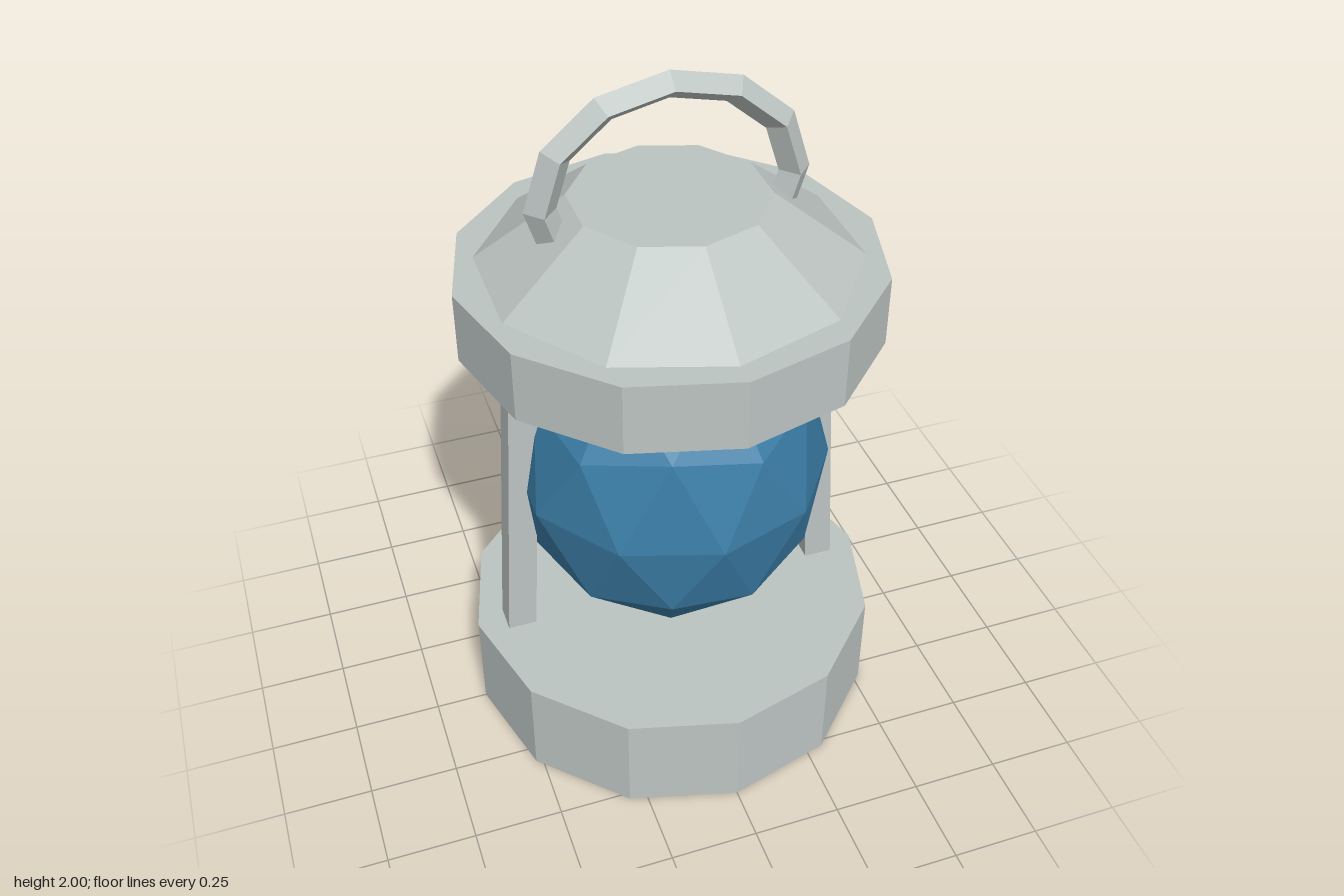
import * as THREE from 'three';

export function createModel() {
  const group = new THREE.Group();
  const metal = new THREE.MeshStandardMaterial({ color: 0xbcc4c2, flatShading: true });
  metal.name = 'pale grey metal';
  const glass = new THREE.MeshStandardMaterial({ color: 0x3a7ca5, flatShading: true });
  glass.name = 'blue glass';

  const add = (name, geometry, material, x = 0, y = 0) => {
    const mesh = new THREE.Mesh(geometry, material);
    mesh.name = name;
    mesh.position.set(x, y, 0);
    group.add(mesh);
    return mesh;
  };
  // Upright faceted drum or cone between two heights
  const drum = (name, bottomRadius, topRadius, y0, y1, sides) =>
    add(name, new THREE.CylinderGeometry(topRadius, bottomRadius, y1 - y0, sides), metal, 0, (y0 + y1) / 2);

  drum('base', 0.6, 0.6, 0, 0.305, 12);
  drum('lidRim', 0.577, 0.577, 1.275, 1.475, 12);
  drum('lidCone', 0.512, 0.265, 1.475, 1.66, 10);

  // Faceted globe with a corner at each pole
  const globe = new THREE.IcosahedronGeometry(1, 1);
  globe.rotateZ(-Math.atan(2 / (1 + Math.sqrt(5))));
  globe.scale(0.455, 0.51, 0.455);
  add('globe', globe, glass, 0, 0.815);

  // Two posts leaning in towards the lid
  for (const side of [1, -1]) {
    const post = add(side > 0 ? 'leftPost' : 'rightPost',
      new THREE.BoxGeometry(0.083, 1.06, 0.083), metal, side * 0.445, 0.79);
    post.rotation.z = side * Math.atan(0.06 / 0.97);
  }

  // Squashed carrying ring whose ends sink into the lid
  const handle = new THREE.TorusGeometry(0.339, 0.043, 4, 8, Math.PI * 4 / 3);
  handle.rotateZ(-Math.PI / 6);
  handle.scale(1, 0.85, 1.08);
  add('handle', handle, metal, 0, 1.675);

  return group;
}
